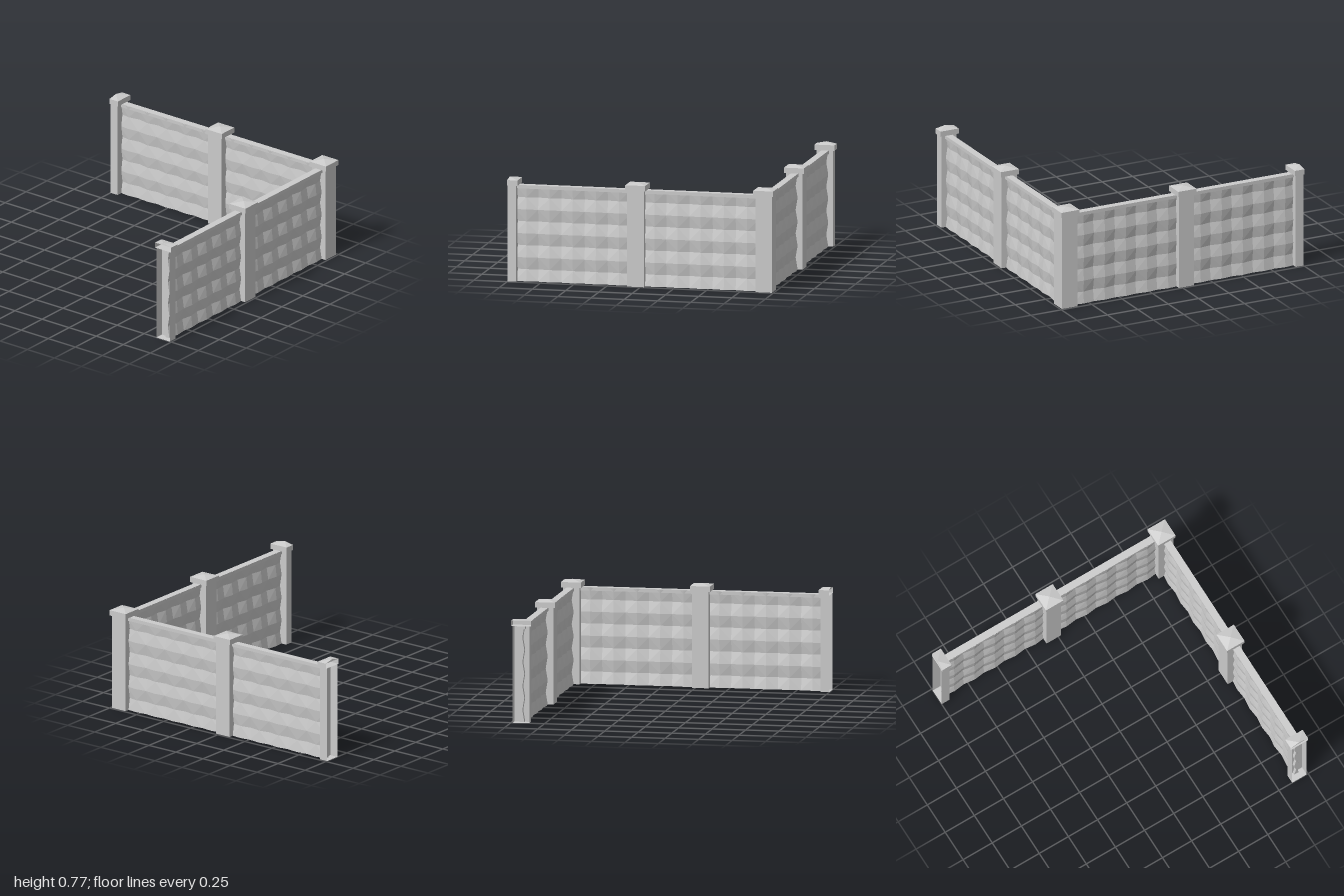
import * as THREE from 'three';

const material = new THREE.MeshStandardMaterial({ color: 0xcccccc, flatShading: true, side: THREE.DoubleSide });
const LINE = 0.925;   // centre line of both wings
const SPAN = 0.9625;  // distance between posts
const POST_H = 0.715;

function mesh(name, geometry, x, y, z) {
  const m = new THREE.Mesh(geometry, material);
  m.name = name;
  m.position.set(x, y, z);
  return m;
}

// Box grid whose vertices are moved by a rule; diagonals alternate so that
// pyramids on even grid points get four clean creases.
function facetedBox(size, segs, openLeft, rule) {
  const box = new THREE.BoxGeometry(...size, ...segs);
  const p = box.attributes.position;
  const cell = (i) => [0, 1, 2].map((k) => Math.round((p.getComponent(i, k) / size[k] + 0.5) * segs[k]));
  const cells = Array.from({ length: p.count }, (_, i) => cell(i));
  const src = Array.from(box.index.array);
  const index = [];
  box.groups.forEach((g, side) => {
    if (openLeft && side === 1) return;
    for (let i = g.start; i < g.start + g.count; i += 6) {
      const [a, b, d, , c] = src.slice(i, i + 5);
      const even = side < 2 ? cells[a][1] + cells[a][2] : side < 4 ? cells[a][0] + cells[a][2] : cells[a][0] + cells[a][1];
      index.push(...(even % 2 === 0 ? [a, b, c, a, c, d] : [a, b, d, b, c, d]));
    }
  });
  const v = new THREE.Vector3();
  for (let i = 0; i < p.count; i++) {
    v.fromBufferAttribute(p, i);
    rule(v, cells[i]);
    p.setXYZ(i, v.x, v.y, v.z);
  }
  box.setIndex(index);
  box.clearGroups();
  const flat = box.toNonIndexed();
  flat.computeVertexNormals();
  return flat;
}

// Square post with a low pyramid cap; a half post is cut open on its left
function makePost(name, half) {
  const post = new THREE.Group();
  post.name = name;
  const cut = (v) => { if (half) v.x = Math.max(v.x, -0.0025); };
  const shaft = facetedBox([0.125, POST_H, 0.125], [1, 1, 1], half, cut);
  const cap = facetedBox([0.15, 0.04, 0.15], [2, 1, 2], half, (v, c) => {
    if (c[0] === 1 && c[1] === 1 && c[2] === 1) v.y += 0.015;
    cut(v);
  });
  post.add(mesh('postShaft', shaft, 0, POST_H / 2, 0));
  post.add(mesh('postCap', cap, 0, POST_H + 0.02, 0));
  return post;
}

// Panel with faceted relief on both sides
const panelGeometry = facetedBox([0.87, 0.712, 0.06], [10, 8, 1], false, (v, c) => {
  const oddX = (c[0] + 1) % 2;
  const oddY = c[1] % 2;
  const depth = [0.029, 0.019, 0.004][oddX + oddY];
  v.z = Math.sign(v.z) * depth;
});

// One wing: two panels with rails, a middle post and a cut end post
function makeWing(name, dir) {
  const wing = new THREE.Group();
  wing.name = name;
  for (let i = 0; i < 2; i++) {
    const x = dir * (LINE - SPAN * (i + 0.5));
    wing.add(mesh('panel', panelGeometry, x, 0.356, 0.9285));
    wing.add(mesh('topRail', new THREE.BoxGeometry(0.88, 0.025, 0.055), x, 0.7025, 0.93));
  }
  const middle = makePost('middlePost', false);
  middle.position.set(dir * (LINE - SPAN), 0, LINE);
  const end = makePost('endPost', true);
  end.position.set(dir * -0.9975, 0, LINE);
  if (dir < 0) end.rotation.y = Math.PI;
  wing.add(middle, end);
  return wing;
}

export function createModel() {
  const fence = new THREE.Group();
  fence.name = 'cornerFence';
  const front = makeWing('frontWing', 1);
  const side = makeWing('leftWing', -1);
  side.rotation.y = Math.PI / 2;
  const corner = makePost('cornerPost', false);
  corner.position.set(LINE, 0, LINE);
  fence.add(front, side, corner);
  return fence;
}
